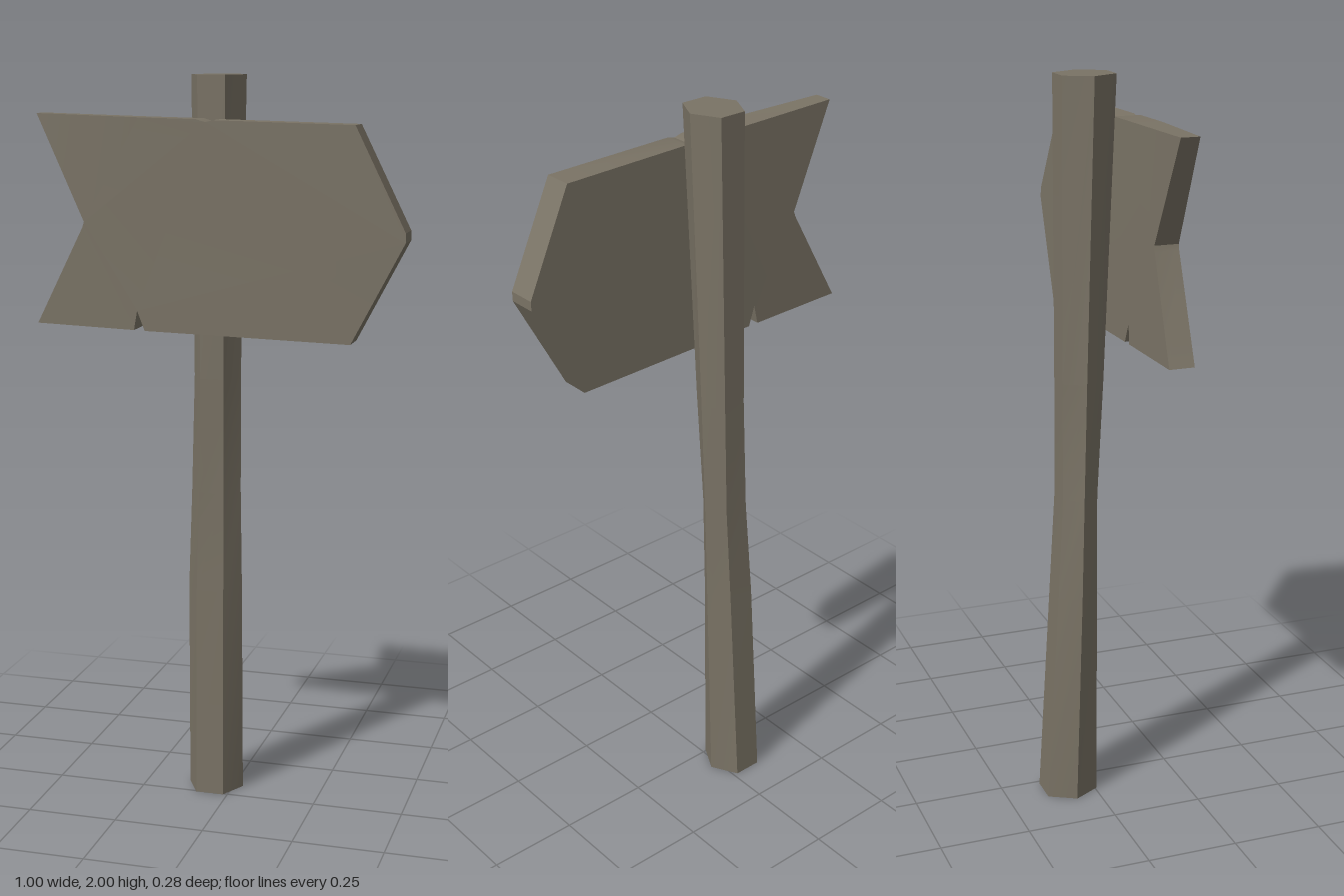
import * as THREE from 'three';
import { toCreasedNormals } from 'three/addons/utils/BufferGeometryUtils.js';

const wood = () => new THREE.MeshStandardMaterial({ color: 0x7a7365 });

// Crooked six-sided post: each ring is [y, xMin, xMax, zMin, zMax]
function makePost() {
  const rings = [
    [0, -0.13, 0.027, -0.14, 0.005],
    [0.6, -0.125, 0.028, -0.105, 0.006],
    [0.88, -0.112, 0.027, -0.088, 0.01],
    [1.2, -0.1, 0.03, -0.085, 0.03],
    [2, -0.1, 0.05, -0.081, 0.065],
  ];
  const n = rings.length - 1;
  const geo = new THREE.CylinderGeometry(1, 1, n, 6, n, false, Math.PI / 6);
  const p = geo.attributes.position;
  const flat = Math.cos(Math.PI / 6);
  for (let i = 0; i < p.count; i++) {
    const [y, x0, x1, z0, z1] = rings[Math.round(p.getY(i) + n / 2)];
    p.setXYZ(
      i,
      (x0 + x1) / 2 + (p.getX(i) * (x1 - x0)) / 2,
      y,
      (z0 + z1) / 2 + ((p.getZ(i) / flat) * (z1 - z0)) / 2,
    );
  }
  const mesh = new THREE.Mesh(toCreasedNormals(geo, 0.4), wood());
  mesh.name = 'post';
  return mesh;
}

// Arrow board: extruded outline, then leaned back and thinned at the tail
function makeBoard() {
  const outline = [
    [-0.5, 1.345], [-0.225, 1.338],
    [-0.215, 1.39], [-0.195, 1.337], // split in the lower edge
    [0, 1.333], [0.36, 1.325],
    [0.5, 1.59], [0.5, 1.615], // blunt tip
    [0.37, 1.88], [0, 1.888],
    [-0.02, 1.883], [-0.045, 1.89], // chip in the upper edge
    [-0.2, 1.893], [-0.488, 1.9],
    [-0.36, 1.62], [-0.365, 1.605], // tail notch
  ].map(([x, y]) => new THREE.Vector2(x, y));
  const geo = new THREE.ExtrudeGeometry(new THREE.Shape(outline), { depth: 1, bevelEnabled: false });
  const p = geo.attributes.position;
  for (let i = 0; i < p.count; i++) {
    const x = p.getX(i);
    const drop = 1.89 - p.getY(i);
    const tail = Math.max(0, -0.2 - x) / 0.3;
    const front = 0.138 + Math.min(x, 0.37) * 0.01 - drop * 0.04 * (1 - tail * 0.7) - tail * 0.024;
    const back = 0.065 - drop * 0.045 - tail * 0.005;
    p.setZ(i, THREE.MathUtils.lerp(back, front, p.getZ(i)));
  }
  const mesh = new THREE.Mesh(toCreasedNormals(geo, 0.4), wood());
  mesh.name = 'arrowBoard';
  return mesh;
}

export function createModel() {
  const group = new THREE.Group();
  group.name = 'signpost';
  group.add(makePost(), makeBoard());
  return group;
}
